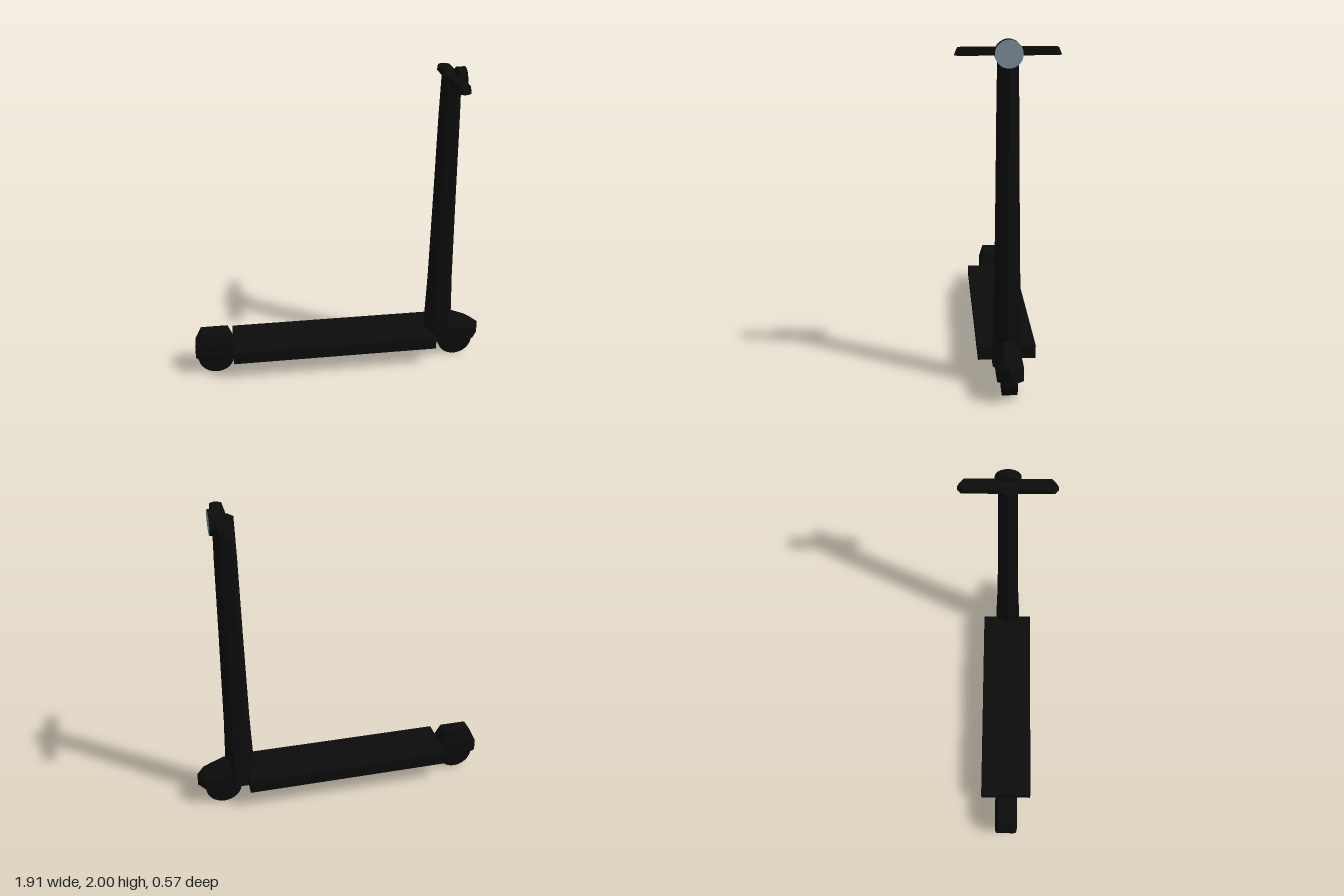
import * as THREE from 'three';

const black = new THREE.MeshStandardMaterial({ name: 'black', color: 0x0c0c0c });
black.flatShading = true;
const lens = new THREE.MeshStandardMaterial({ name: 'lampGrey', color: 0x8093a0 });

function add(group, name, geometry, material, x = 0, y = 0, z = 0) {
  const mesh = new THREE.Mesh(geometry, material);
  mesh.name = name;
  mesh.position.set(x, y, z);
  group.add(mesh);
  return mesh;
}

// Skins eight-sided sections along x: [x, bottom, low edge, shoulder, top, half width, top half width]
function loft(sections) {
  const positions = [], index = [], n = 8;
  for (const [x, bottom, low, shoulder, top, w, wt] of sections) {
    const half = [[wt, top], [w, shoulder], [w, low], [w * 0.75, bottom]];
    for (const [z, y] of half) positions.push(x, y, z);
    for (const [z, y] of half.slice().reverse()) positions.push(x, y, -z);
  }
  const last = (sections.length - 1) * n;
  for (let i = 0; i < last; i += n) {
    for (let j = 0; j < n; j++) {
      const a = i + j, b = i + (j + 1) % n;
      index.push(a, b, b + n, a, b + n, a + n);
    }
  }
  for (let j = 1; j < n - 1; j++) {
    index.push(0, j + 1, j, last, last + j, last + j + 1);
  }
  const geometry = new THREE.BufferGeometry();
  geometry.setAttribute('position', new THREE.Float32BufferAttribute(positions, 3));
  geometry.setIndex(index);
  geometry.computeVertexNormals();
  return geometry;
}

export function createModel() {
  const scooter = new THREE.Group();
  scooter.name = 'kickScooter';

  // Standing deck
  add(scooter, 'deck', new THREE.BoxGeometry(1.34, 0.08, 0.34), black, -0.04, 0.172, -0.003);

  // Wheels
  for (const [name, x] of [['rearWheel', -0.825], ['frontWheel', 0.79]]) {
    const wheel = new THREE.CylinderGeometry(0.117, 0.117, 0.084, 32);
    wheel.rotateX(Math.PI / 2);
    add(scooter, name, wheel, black, x, 0.117, 0);
  }

  // Faceted housings over the wheels
  add(scooter, 'rearFender', loft([
    [-0.956, 0.125, 0.135, 0.205, 0.212, 0.066, 0.05],
    [-0.942, 0.115, 0.13, 0.21, 0.24, 0.074, 0.05],
    [-0.915, 0.105, 0.13, 0.215, 0.296, 0.075, 0.05],
    [-0.74, 0.105, 0.13, 0.215, 0.296, 0.075, 0.05],
    [-0.705, 0.13, 0.135, 0.205, 0.212, 0.075, 0.05],
  ]), black);
  add(scooter, 'frontFender', loft([
    [0.62, 0.13, 0.132, 0.21, 0.3, 0.07, 0.03],
    [0.77, 0.125, 0.132, 0.215, 0.303, 0.075, 0.03],
    [0.86, 0.125, 0.132, 0.215, 0.267, 0.075, 0.03],
    [0.905, 0.13, 0.132, 0.214, 0.242, 0.074, 0.025],
    [0.953, 0.13, 0.132, 0.212, 0.214, 0.001, 0.0005],
  ]), black);

  // Tapering six-sided steering column
  const profile = [[0, 0.13], [0.099, 0.13], [0.095, 0.22], [0.082, 0.6],
    [0.073, 1.2], [0.067, 1.7], [0.061, 1.952], [0, 1.952]];
  add(scooter, 'steeringColumn', new THREE.LatheGeometry(
    profile.map(([r, y]) => new THREE.Vector2(r, y)), 6, Math.PI / 2), black, 0.672, 0, 0);

  // Flat handlebar with pointed ends, its upper face slightly shorter
  const outline = new THREE.Shape([[0.036, -0.262], [0.036, 0.262], [0.012, 0.284],
    [-0.012, 0.284], [-0.036, 0.262], [-0.036, -0.262], [-0.012, -0.284], [0.012, -0.284]]
    .map(([x, z]) => new THREE.Vector2(x, z)));
  const bar = new THREE.ExtrudeGeometry(outline, { depth: 0.04, bevelEnabled: false });
  bar.rotateX(-Math.PI / 2);
  const p = bar.attributes.position;
  for (let i = 0; i < p.count; i++) {
    if (p.getY(i) > 0.02) p.setZ(i, p.getZ(i) * 0.94);
  }
  bar.computeVertexNormals();
  add(scooter, 'handlebar', bar, black, 0.685, 1.914, 0);

  // Round headlamp with a pale front face
  const lamp = new THREE.CylinderGeometry(0.075, 0.075, 0.05, 32);
  lamp.rotateZ(-Math.PI / 2);
  add(scooter, 'headlampHousing', lamp, black, 0.729, 1.925, 0);
  const face = new THREE.CircleGeometry(0.075, 32);
  face.rotateY(Math.PI / 2);
  add(scooter, 'headlampLens', face, lens, 0.756, 1.925, 0);

  return scooter;
}
